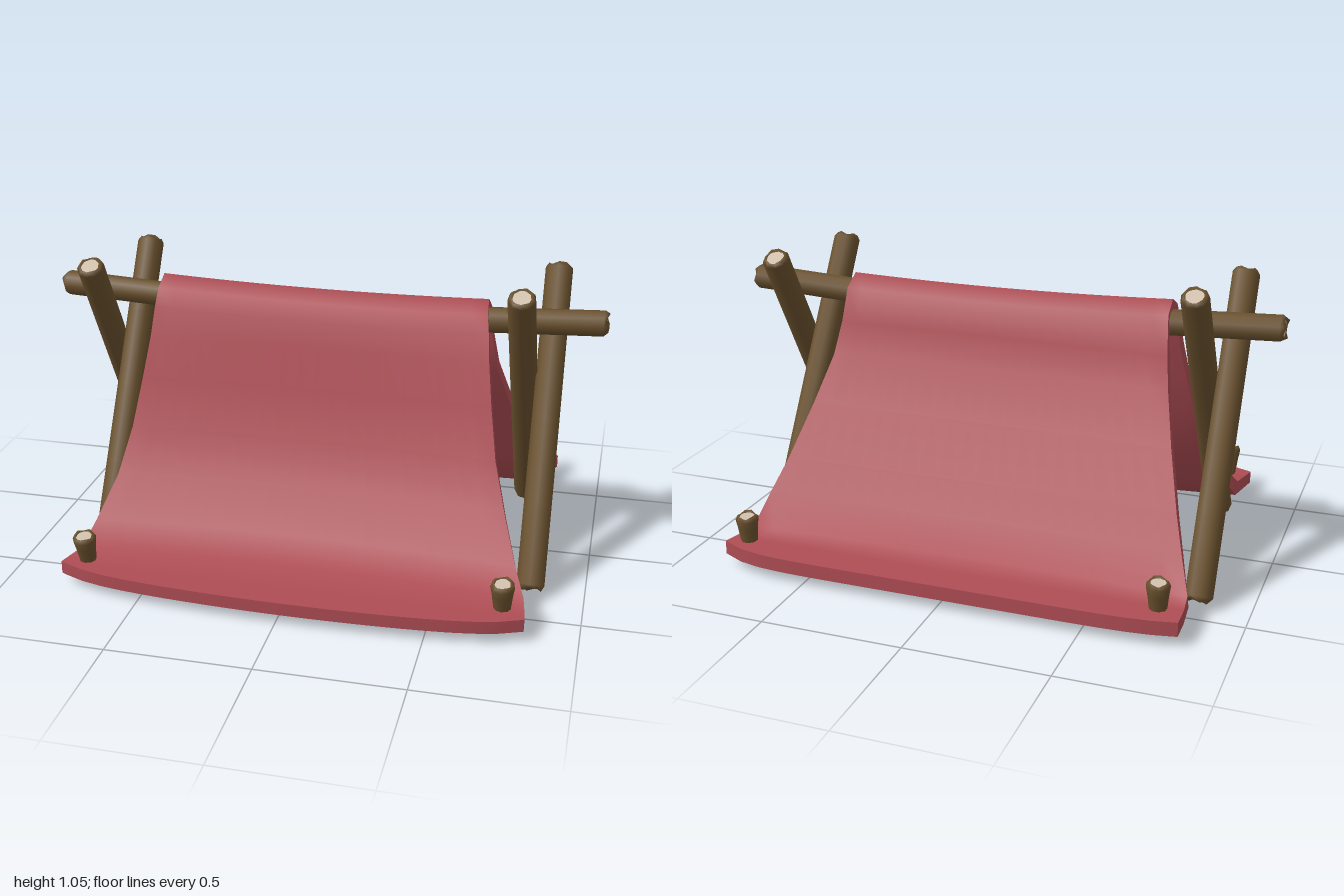
import * as THREE from 'three';
import { mergeGeometries } from 'three/addons/utils/BufferGeometryUtils.js';

const V = (x, y, z) => new THREE.Vector3(x, y, z);

// Smooth sheet through a grid of points (rows of equal length)
function sheet(rows, flip = false) {
  const n = rows[0].length, pos = [], idx = [];
  rows.forEach(row => row.forEach(p => pos.push(p.x, p.y, p.z)));
  for (let i = 0; i < rows.length - 1; i++) {
    for (let j = 0; j < n - 1; j++) {
      const a = i * n + j, b = a + 1, c = a + n, d = c + 1;
      if (flip) idx.push(a, c, b, b, c, d);
      else idx.push(a, b, c, b, d, c);
    }
  }
  const g = new THREE.BufferGeometry();
  g.setAttribute('position', new THREE.Float32BufferAttribute(pos, 3));
  g.setIndex(idx);
  g.computeVertexNormals();
  return g;
}

// Cloth section, front to back: outer z, y; inner z, y; left and right edge x
const SECTION = [
  [0.70, 0.08, 0.70, 0.035, -0.79, 0.82],
  [0.62, 0.08, 0.62, 0.035, -0.80, 0.82],
  [0.506, 0.08, 0.475, 0.035, -0.77, 0.805],
  [0.427, 0.155, 0.39, 0.125, -0.74, 0.765],
  [0.31, 0.285, 0.27, 0.26, -0.695, 0.71],
  [0.216, 0.44, 0.175, 0.42, -0.665, 0.66],
  [0.15, 0.615, 0.108, 0.60, -0.64, 0.63],
  [0.098, 0.755, 0.055, 0.74, -0.622, 0.61],
  [0.06, 0.85, 0.03, 0.83, -0.615, 0.60],
  [0.027, 0.91, 0.005, 0.875, -0.61, 0.59],
  [-0.043, 0.943, -0.04, 0.90, -0.61, 0.585],
  [-0.103, 0.90, -0.085, 0.87, -0.61, 0.59],
  [-0.138, 0.775, -0.10, 0.76, -0.62, 0.60],
  [-0.18, 0.657, -0.14, 0.64, -0.638, 0.618],
  [-0.275, 0.495, -0.235, 0.475, -0.678, 0.66],
  [-0.384, 0.312, -0.345, 0.29, -0.73, 0.715],
  [-0.46, 0.20, -0.425, 0.17, -0.77, 0.755],
  [-0.53, 0.092, -0.505, 0.04, -0.81, 0.79],
  [-0.62, 0.088, -0.62, 0.037, -0.82, 0.815],
  [-0.72, 0.085, -0.72, 0.035, -0.82, 0.83],
];

function clothGeometry() {
  const cols = 20, last = SECTION.length - 1;
  const grid = (k, frontSag, rearSag) => SECTION.map((s, i) => Array.from({ length: cols + 1 }, (_, j) => {
    const u = j / cols * 2 - 1;
    let z = s[k], y = s[k + 1];
    const x = THREE.MathUtils.lerp(s[4], s[5], j / cols);
    const sag = 1 - u * u;
    if (i === 0) z = 0.725 - 0.05 * (u - 0.08) ** 2 - 0.04 * u ** 8;   // bowed front hem
    else if (i === last) z = -0.73 + (0.05 + 0.02 * u) * u ** 8;       // clipped rear corners
    else if (y > 0.8) y -= 0.012 * sag + 0.005 * u;                    // ridge dip
    else if (i > 1 && i < last - 1) z -= sag * (1 - y) * (z > 0 ? frontSag : -rearSag); // slopes hang inward
    return V(x, y, z);
  }));
  const outer = grid(0, 0.042, 0.03), inner = grid(2, 0.065, 0.035);
  const side = j => [outer.map(r => r[j]), inner.map(r => r[j])];
  return mergeGeometries([
    sheet(outer), sheet(inner, true),
    sheet(side(0)), sheet(side(cols), true),
    sheet([outer[0], inner[0]], true), sheet([outer[last], inner[last]]),
  ]);
}

export function createModel() {
  const cloth = new THREE.MeshStandardMaterial({ color: 0xae4d54 });
  const bark = new THREE.MeshStandardMaterial({ color: 0x6a512e });
  const cutWood = new THREE.MeshStandardMaterial({ color: 0xd0bfac });
  cloth.name = 'red cloth';
  bark.name = 'brown bark';
  cutWood.name = 'pale cut wood';
  const model = new THREE.Group();
  model.name = 'tent';

  // Log between two points, with uneven bark rims and recessed pale cut ends
  function log(name, from, to, r0, r1, sag = 0) {
    const group = new THREE.Group(), len = from.distanceTo(to), e = 0.014, sides = 9;
    group.name = name;
    const profile = [
      [r0 * 0.64, 0.007], [r0 * 0.78, 0], [r0, e],
      [r0 * 0.75 + r1 * 0.25, len * 0.25], [(r0 + r1) / 2, len / 2], [r0 * 0.25 + r1 * 0.75, len * 0.75],
      [r1, len - e], [r1 * 0.78, len], [r1 * 0.64, len - 0.007],
    ].map(p => new THREE.Vector2(...p));
    const g = new THREE.LatheGeometry(profile, sides);
    const p = g.attributes.position;
    for (let i = 0; i < p.count; i++) {
      const ring = i % profile.length, y = p.getY(i);
      const rough = 0.006 * Math.sin(3 * Math.atan2(p.getX(i), p.getZ(i)) + 0.5);
      if (ring === 1 || ring === profile.length - 2) p.setY(i, y + rough);
      p.setX(i, p.getX(i) + sag * Math.sin(Math.PI * y / len));
    }
    g.computeBoundingSphere();
    const body = new THREE.Mesh(g, bark);
    body.name = name + 'Bark';
    group.add(body);
    [[r0, 0.006, 1], [r1, len - 0.006, -1]].forEach(([r, y, s]) => {
      const end = new THREE.Mesh(new THREE.CircleGeometry(r * 0.68, sides), cutWood);
      end.name = name + 'CutEnd';
      end.rotation.x = s * Math.PI / 2;
      end.position.y = y;
      group.add(end);
    });
    group.position.copy(from);
    group.quaternion.setFromUnitVectors(V(0, 1, 0), to.clone().sub(from).normalize());
    model.add(group);
  }

  // Draped cloth
  const cover = new THREE.Mesh(clothGeometry(), cloth);
  cover.name = 'clothCover';
  model.add(cover);

  // Ridge pole, dipping slightly under the cloth
  log('ridgePole', V(-1, 0.885, -0.05), V(1, 0.885, -0.028), 0.046, 0.046, 0.034);

  // Crossed support poles: bottom x, top x, foot z, top z
  [
    ['leftFrontFootedPole', 0.815, 0.81, 0.352, -0.235],
    ['leftRearFootedPole', 0.73, 0.715, -0.42, 0.165],
    ['rightRearFootedPole', -0.825, -0.82, -0.432, 0.152],
    ['rightFrontFootedPole', -0.73, -0.725, 0.355, -0.235],
  ].forEach(([name, x0, x1, z0, z1]) => log(name, V(x0, 0.03, z0), V(x1, 1.022, z1), 0.049, 0.049));

  // Tapered ground pegs: x, bottom z, top z
  [[-0.715, 0.565, 0.607], [0.742, 0.565, 0.607], [-0.737, -0.62, -0.64], [0.752, -0.62, -0.635]]
    .forEach(([x, z0, z1]) => log('groundPeg', V(x, 0.006, z0), V(x, 0.187, z1), 0.021, 0.041));

  return model;
}
